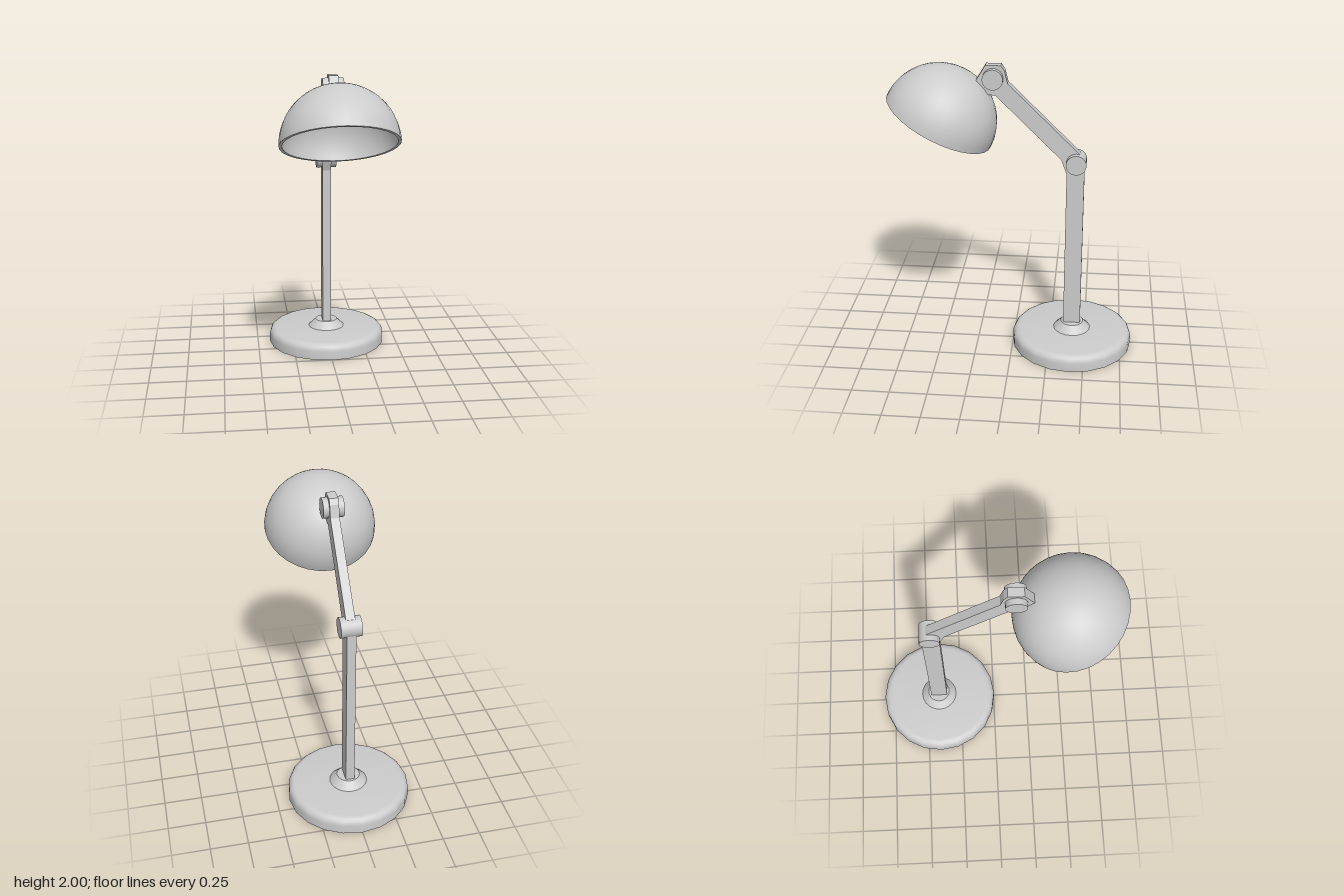
import * as THREE from 'three';
import { toCreasedNormals } from 'three/addons/utils/BufferGeometryUtils.js';

const material = new THREE.MeshStandardMaterial({ color: 0xcccccc });
const v2 = (x, y) => new THREE.Vector2(x, y);

function part(name, geometry, x = 0, y = 0, z = 0) {
  const mesh = new THREE.Mesh(geometry, material);
  mesh.name = name;
  mesh.position.set(x, y, z);
  return mesh;
}

// Points along a circular arc, angles in radians
function arc(cx, cy, r, from, to, steps) {
  return Array.from({ length: steps + 1 }, (_, i) => {
    const a = from + ((to - from) * i) / steps;
    return v2(Math.max(0, cx + r * Math.cos(a)), cy + r * Math.sin(a));
  });
}

const lathe = (points, sides) => toCreasedNormals(new THREE.LatheGeometry(points, sides), 0.6);

// Post, sloping arm and shade bracket share one side profile (z, y)
function stemGeometry() {
  const profile = [
    [-0.467, 0.13], [-0.35, 0.13], [-0.35, 1.28], [-0.313, 1.38],
    [0.117, 1.803], [0.175, 1.807], [0.246, 1.891], [0.18, 2.0],
    [0.08, 2.0], [0.057, 1.965], [0.037, 1.883], [-0.434, 1.422], [-0.467, 1.33],
  ].map(([z, y]) => v2(z, y));
  const geometry = new THREE.ExtrudeGeometry(new THREE.Shape(profile), { depth: 0.06, bevelEnabled: false });
  geometry.translate(0, 0, -0.03).rotateY(-Math.PI / 2);
  // The arm drifts slightly to the right towards its tip
  const p = geometry.attributes.position;
  for (let i = 0; i < p.count; i++) {
    const t = THREE.MathUtils.clamp((p.getZ(i) + 0.35) / 0.48, 0, 1);
    p.setX(i, p.getX(i) - 0.012 * t);
  }
  geometry.computeVertexNormals();
  return geometry;
}

export function createModel() {
  const lamp = new THREE.Group();
  lamp.name = 'deskLamp';
  const baseZ = -0.41;

  // Round base with a softened top edge
  lamp.add(part('base', lathe([
    v2(0, 0), v2(0.413, 0),
    ...arc(0.363, 0.06, 0.05, 0, Math.PI / 2, 5),
    v2(0, 0.11),
  ], 20), 0, 0, baseZ));

  // Conical collar where the post meets the base
  lamp.add(part('collar', lathe([v2(0.127, 0.105), v2(0.127, 0.11), v2(0.077, 0.16), v2(0, 0.16)], 20), 0, 0, baseZ));

  lamp.add(part('stem', stemGeometry()));

  // Pivot drums
  const drum = new THREE.CylinderGeometry(0.067, 0.067, 0.137, 24).rotateZ(Math.PI / 2);
  lamp.add(part('elbowJoint', drum, 0, 1.358, -0.412));
  lamp.add(part('shadeJoint', drum, -0.012, 1.915, 0.132));

  // Hollow hemispherical shade, tipped forward
  const shade = part('shade', lathe([
    ...arc(0, 0, 0.356, Math.PI / 2, 0, 16),
    ...arc(0, 0, 0.376, 0, Math.PI / 2, 16),
  ], 32), -0.005, 1.616, 0.487);
  shade.rotation.x = -0.476;
  lamp.add(shade);

  return lamp;
}
